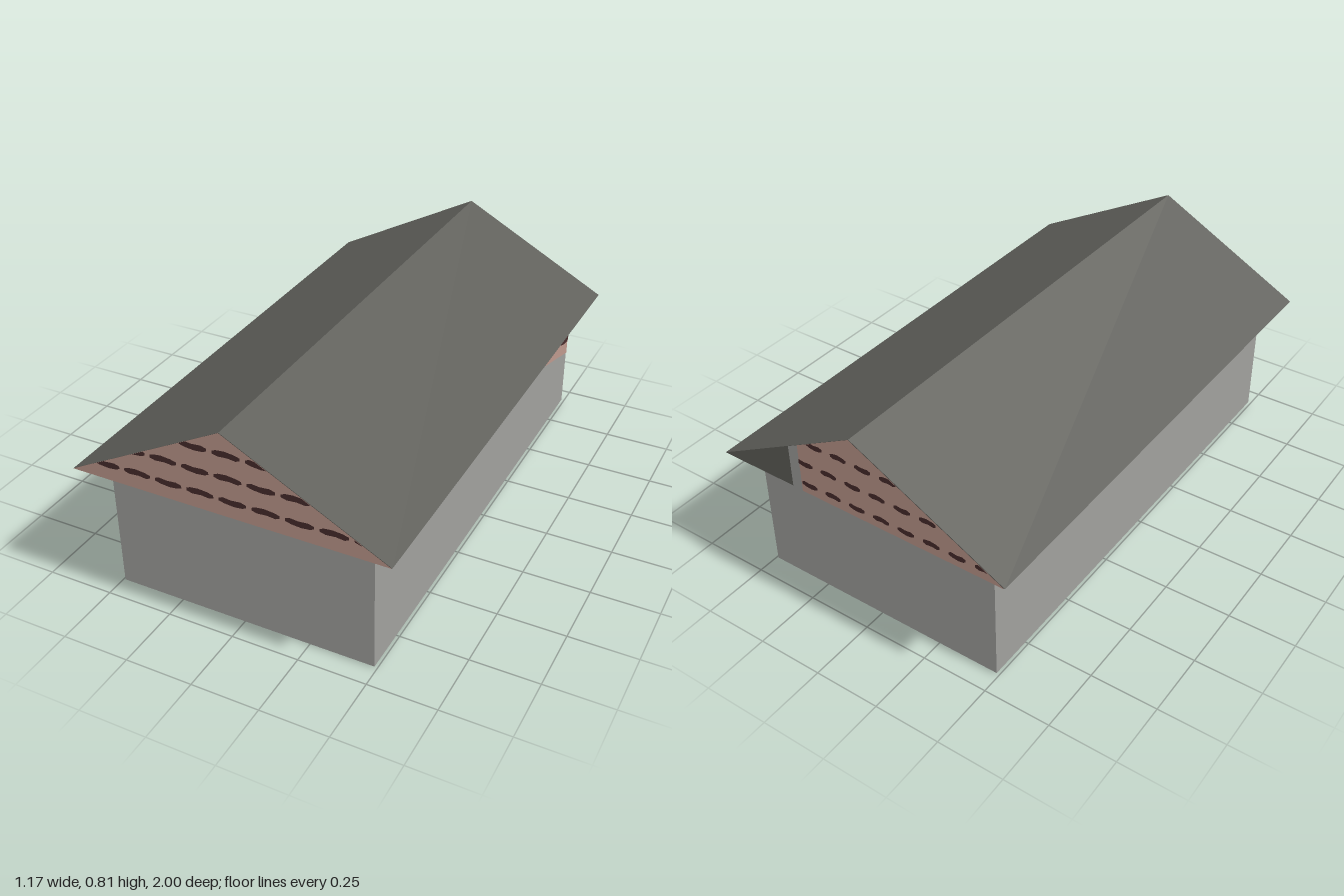
import * as THREE from 'three';

const mat = (name, color) => Object.assign(new THREE.MeshStandardMaterial({ color }), { name });

// Keep the part of a polygon inside a convex counter-clockwise region
function clip(poly, region) {
  region.forEach(([ax, ay], i) => {
    const [bx, by] = region[(i + 1) % region.length];
    const side = ([x, y]) => (bx - ax) * (y - ay) - (by - ay) * (x - ax);
    const out = [];
    poly.forEach((p, j) => {
      const q = poly[(j + 1) % poly.length], sp = side(p), sq = side(q);
      if (sp >= 0) out.push(p);
      if (sp * sq < 0) {
        const t = sp / (sp - sq);
        out.push([p[0] + (q[0] - p[0]) * t, p[1] + (q[1] - p[1]) * t]);
      }
    });
    poly = out;
  });
  return poly;
}

const toShape = (pts) => new THREE.Shape(pts.map(([x, y]) => new THREE.Vector2(x, y)));

// Ragged mortar dashes from (u, v) along a slope, trimmed to the region
function dashes(region, { u, v, count, period, length, thick, slope = 0 }) {
  const shapes = [];
  for (let i = 0; i < count; i++) {
    const cx = u + i * period, cy = v + (cx - u) * slope;
    const h = thick / 2, l = length / 2, w = 0.15 * thick * (i % 2 ? 1 : -1);
    const outline = [
      [-l, -h * 0.5], [-l * 0.6, -h], [l * 0.1, -h + w], [l * 0.7, -h], [l, -h * 0.4],
      [l, h * 0.5], [l * 0.6, h], [-l * 0.1, h + w], [-l * 0.7, h], [-l, h * 0.4],
    ].map(([x, y]) => [cx + x, cy + y + x * slope * 0.75]);
    const cut = clip(outline, region);
    if (cut.length > 2) shapes.push(toShape(cut));
  }
  return shapes;
}

export function createModel() {
  const group = new THREE.Group();
  const wall = mat('wallGrey', 0xa0a09d);
  const roof = mat('roofGrey', 0x5e5e59);
  const brick = mat('brickPink', 0xbe988c);
  const mortar = mat('mortarBrown', 0x482c2c);

  const W = 0.49, D = 0.92, EAVE = 0.5, RIDGE = 0.81, RW = 0.585, RD = 0.996;

  const add = (parent, name, geometry, material) => {
    const mesh = new THREE.Mesh(geometry, material);
    mesh.name = name;
    parent.add(mesh);
    return mesh;
  };

  // A flat brick panel carrying rows of dashes, drawn in its own plane
  const panel = (name, region, rows) => {
    const g = new THREE.Group();
    g.name = name;
    add(g, name + 'Bricks', new THREE.ShapeGeometry(toShape(region)), brick);
    const shapes = rows.flatMap((r) => dashes(region, r));
    add(g, name + 'Mortar', new THREE.ShapeGeometry(shapes), mortar).position.z = 0.002;
    group.add(g);
    return g;
  };

  // Walls
  add(group, 'walls', new THREE.BoxGeometry(W * 2, EAVE - 0.004, D * 2), wall)
    .position.y = EAVE / 2 + 0.002;

  // Gabled roof and its pale underside
  const gable = [[-RW, EAVE], [RW, EAVE], [0, RIDGE]];
  const prism = new THREE.ExtrudeGeometry(toShape(gable), { depth: RD * 2, bevelEnabled: false });
  add(group, 'roof', prism.translate(0, 0, -RD), roof);
  const soffit = add(group, 'roofUnderside', new THREE.PlaneGeometry(RW * 2, RD * 2), wall);
  soffit.rotation.x = Math.PI / 2;
  soffit.position.y = EAVE - 0.002;

  // Front gable
  const row = (u, v, count) => ({ u, v, count, period: 0.119, length: 0.1, thick: 0.022 });
  panel('frontGable', gable, [row(-0.44, 0.563, 9), row(-0.333, 0.648, 7), row(-0.096, 0.735, 3)])
    .position.z = RD + 0.002;

  // Back gable: bricks over most of it, then a narrow pale strip
  const upright = (a, b) => [[a, 0], [b, 0], [b, 1], [a, 1]];
  const backRow = (u, v) => ({ u, v, count: 8, period: 0.1, length: 0.065, thick: 0.02 });
  const back = panel('backGable', clip(gable, upright(-0.228, 1)),
    [backRow(-0.19, 0.54), backRow(-0.2, 0.625), backRow(-0.15, 0.715)]);
  add(back, 'backGableStrip',
    new THREE.ShapeGeometry(toShape(clip(gable, upright(-0.27, -0.228)))), wall);
  back.rotation.y = Math.PI;
  back.position.z = -RD - 0.002;

  // Slanted brick patch on the left wall
  const patch = panel('sideBrickPatch', [[0, EAVE - 0.003], [D, 0.24], [D, EAVE - 0.003]], [
    { u: 0.27, v: 0.487, count: 7, period: 0.1, length: 0.11, thick: 0.03, slope: -0.27 },
    { u: 0.69, v: 0.49, count: 3, period: 0.1, length: 0.11, thick: 0.03, slope: -0.27 },
  ]);
  patch.rotation.y = Math.PI / 2;
  patch.position.x = W + 0.002;

  // Brick sliver along the base; the mortar row runs lengthways
  const sliver = [[W, -D], [W, D], [0.3, D]];
  const base = new THREE.Group();
  base.name = 'baseBrickStrip';
  add(base, 'baseBricks', new THREE.ShapeGeometry(toShape(sliver)), brick);
  const turned = sliver.map(([x, z]) => [z, -x]);
  const baseRow = dashes(turned, { u: -0.9, v: -0.44, count: 19, period: 0.1, length: 0.104, thick: 0.06 });
  const baseMortar = add(base, 'baseMortar', new THREE.ShapeGeometry(baseRow), mortar);
  baseMortar.rotation.z = Math.PI / 2;
  baseMortar.position.z = 0.001;
  base.rotation.x = Math.PI / 2;
  base.position.y = 0.001;
  group.add(base);

  return group;
}
